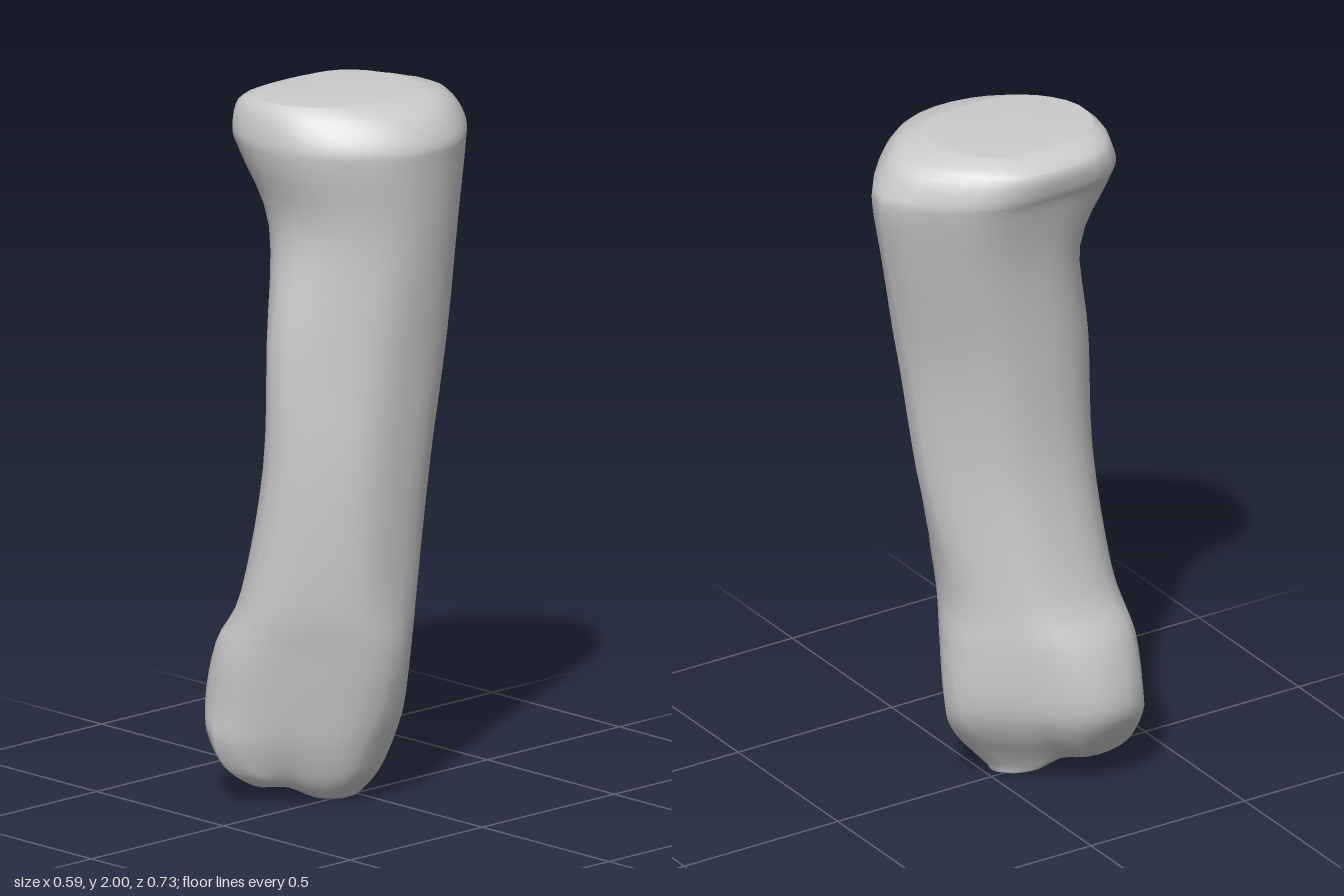
import * as THREE from 'three';
import { mergeVertices } from 'three/addons/utils/BufferGeometryUtils.js';

// Cross-sections from the lower joint to the upper joint. Each row is the height, then
// the extents along x, z, u = (x - z) / sqrt2 and v = (x + z) / sqrt2 (min, max each).
const SECTIONS = [
  [0.005, -0.03, 0.03, 0.0, 0.13, -0.11, 0.0, 0.02, 0.08],
  [0.03, -0.10, 0.05, -0.03, 0.27, -0.25, 0.03, 0.01, 0.11],
  [0.08, -0.17, 0.09, -0.07, 0.335, -0.34, 0.07, -0.02, 0.14],
  [0.17, -0.25, 0.13, -0.12, 0.37, -0.395, 0.11, -0.08, 0.17],
  [0.27, -0.295, 0.165, -0.13, 0.365, -0.41, 0.135, -0.115, 0.19],
  [0.44, -0.26, 0.20, -0.125, 0.36, -0.38, 0.155, -0.12, 0.22],
  [0.60, -0.19, 0.20, -0.12, 0.34, -0.31, 0.17, -0.11, 0.245],
  [0.95, -0.14, 0.215, -0.19, 0.315, -0.25, 0.205, -0.11, 0.26],
  [1.30, -0.15, 0.235, -0.245, 0.305, -0.24, 0.25, -0.15, 0.25],
  [1.62, -0.185, 0.27, -0.32, 0.25, -0.235, 0.28, -0.23, 0.25],
  [1.82, -0.235, 0.29, -0.365, 0.30, -0.31, 0.30, -0.28, 0.28],
  [1.89, -0.265, 0.29, -0.345, 0.31, -0.335, 0.30, -0.285, 0.28],
  [1.96, -0.27, 0.235, -0.29, 0.295, -0.32, 0.255, -0.255, 0.24],
  [1.995, -0.19, 0.13, -0.17, 0.265, -0.27, 0.18, -0.19, 0.20],
];
const SIDES = 32;
const STEPS = 4;
const R = Math.SQRT1_2;

// Smooth blend of neighbouring sections
function sectionAt(t) {
  const n = SECTIONS.length - 1;
  const i = Math.min(Math.floor(t), n - 1);
  const f = t - i;
  const row = (k) => SECTIONS[Math.max(0, Math.min(n, k))];
  return row(i).map((b, c) => {
    const p = row(i + 1)[c];
    const m0 = (p - row(i - 1)[c]) / 2;
    const m1 = (row(i + 2)[c] - b) / 2;
    const f2 = f * f, f3 = f2 * f;
    return (2 * f3 - 3 * f2 + 1) * b + (f3 - 2 * f2 + f) * m0 + (3 * f2 - 2 * f3) * p + (f3 - f2) * m1;
  });
}

// Radius of a rounded octagon in direction a, from its eight side distances
function radiusAt(a, sides) {
  let sum = 0;
  sides.forEach((h, k) => {
    sum += Math.pow(Math.max(0, Math.cos(a - (k * Math.PI) / 4)) / h, 8);
  });
  return Math.pow(sum, -1 / 8);
}

// One rounded outline touching the eight extents of a section
function outline([y, x0, x1, z0, z1, u0, u1, v0, v1]) {
  const u = (u0 + u1) / 2, v = (v0 + v1) / 2;
  const cx = (u + v) * R, cz = (v - u) * R;
  const reach = [x1 - cx, v1 - v, z1 - cz, u - u0, cx - x0, v - v0, cz - z0, u1 - u]
    .map((h) => Math.max(h, 0.01));
  const angles = Array.from({ length: SIDES }, (_, j) => (j / SIDES) * Math.PI * 2);

  // Rounding pulls the outline inwards, so push the sides out until it reaches again
  let sides = reach.slice();
  for (let pass = 0; pass < 5; pass++) {
    const radii = angles.map((a) => radiusAt(a, sides));
    sides = sides.map((h, k) => {
      const actual = Math.max(...angles.map((a, j) => radii[j] * Math.cos(a - (k * Math.PI) / 4)));
      return Math.min((h * reach[k]) / actual, reach[k] * 1.25);
    });
  }

  const points = angles.map((a) => {
    const r = radiusAt(a, sides);
    return new THREE.Vector3(cx + r * Math.cos(a), y, cz + r * Math.sin(a));
  });
  return { points, centre: new THREE.Vector3(cx, y, cz) };
}

// Groove between the two rounded knuckles of the lower joint
function groove(p) {
  const u = (p.x - p.z) * R;
  const fade = Math.max(0, 1 - p.y / 0.25);
  p.y += 0.03 * fade * Math.exp(-Math.pow((u + 0.19) / 0.05, 2));
  return p;
}

function boneGeometry() {
  const rings = [];
  const total = (SECTIONS.length - 1) * STEPS;
  for (let i = 0; i <= total; i++) rings.push(outline(sectionAt(i / STEPS)));

  // Close both ends with a ring collapsed to a point
  const pole = (ring, y) => {
    const c = ring.centre.clone().setY(y);
    return { points: ring.points.map(() => c.clone()) };
  };
  rings.unshift(pole(rings[0], 0));
  rings.push(pole(rings[rings.length - 1], 2));

  const positions = [];
  const index = [];
  rings.forEach((ring, i) => {
    ring.points.forEach((p, j) => {
      groove(p);
      positions.push(p.x, p.y, p.z);
      if (i === rings.length - 1) return;
      const a = i * SIDES + j, b = i * SIDES + ((j + 1) % SIDES);
      if (i < rings.length - 2) index.push(a, a + SIDES, b + SIDES);
      else index.push(a, a + SIDES, b);
      if (i > 0 && i < rings.length - 2) index.push(a, b + SIDES, b);
    });
  });

  let geometry = new THREE.BufferGeometry();
  geometry.setAttribute('position', new THREE.Float32BufferAttribute(positions, 3));
  geometry.setIndex(index);
  geometry = mergeVertices(geometry, 1e-5);
  geometry.computeVertexNormals();
  return geometry;
}

export function createModel() {
  const group = new THREE.Group();
  group.name = 'toeBone';
  const bone = new THREE.Mesh(boneGeometry(), new THREE.MeshStandardMaterial({ color: 0xcccccc }));
  bone.name = 'bone';
  group.add(bone);
  return group;
}
